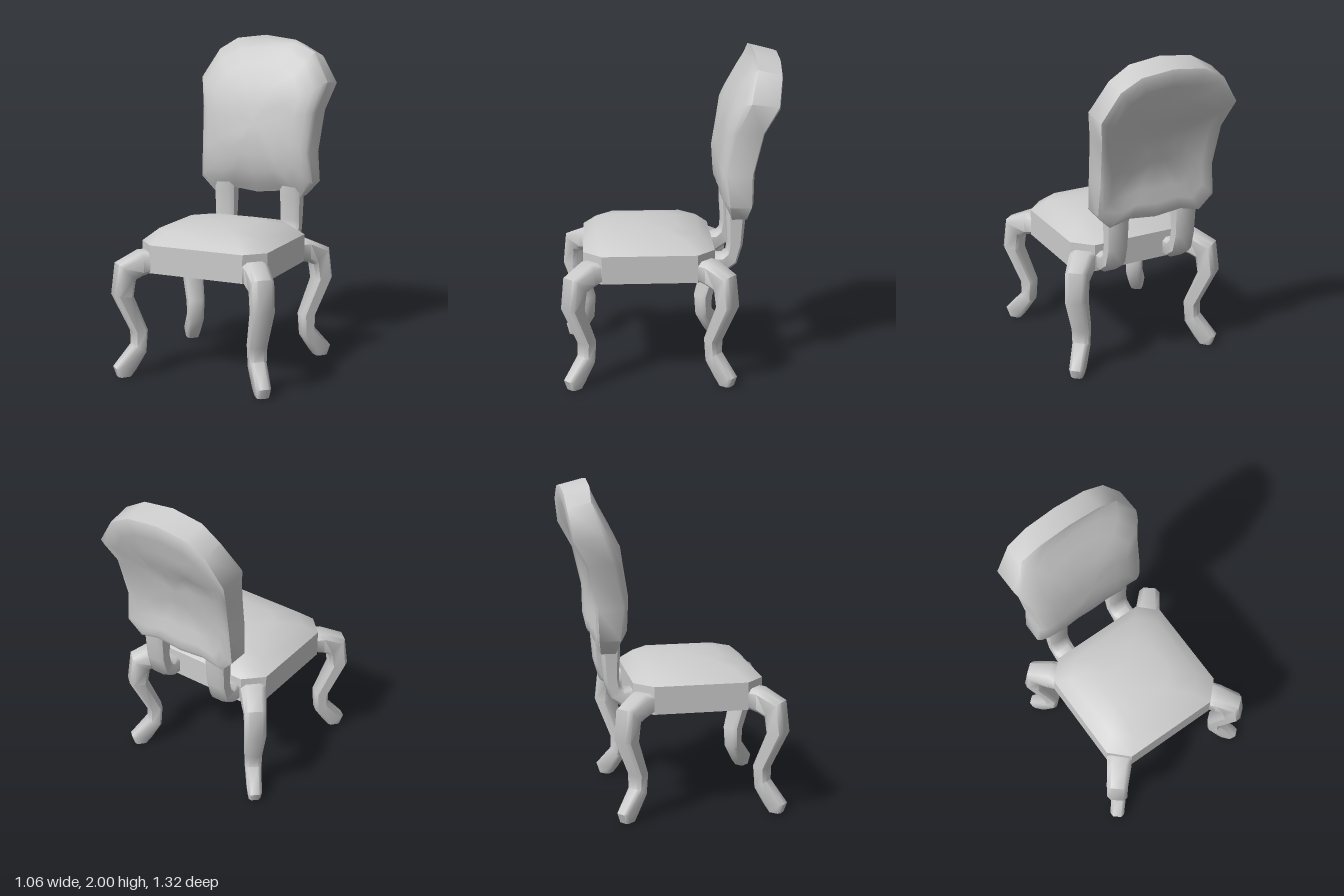
import * as THREE from 'three';
import { toCreasedNormals } from 'three/addons/utils/BufferGeometryUtils.js';

const V = (x, y, z) => new THREE.Vector3(x, y, z);
const material = new THREE.MeshStandardMaterial({ color: 0xcccccc, side: THREE.DoubleSide });

// Piecewise linear lookup in a short list of [input, output] pairs
function lookup(table, v) {
  if (v <= table[0][0]) return table[0][1];
  for (let i = 1; i < table.length; i++) {
    const [a, fa] = table[i - 1], [b, fb] = table[i];
    if (v <= b) return fa + (fb - fa) * (v - a) / (b - a);
  }
  return table[table.length - 1][1];
}

// Skin over closed rings of points; capped ends get a fan to the ring's centre
function loft(name, rings, capStart, capEnd, crease) {
  const n = rings[0].length, points = rings.flat(), index = [];
  const mean = list => list.reduce((s, p) => s.add(p), V(0, 0, 0)).divideScalar(list.length);
  const middle = mean(points);
  for (let r = 0; r < rings.length - 1; r++) {
    for (let i = 0; i < n; i++) {
      const a = r * n + i, b = r * n + (i + 1) % n;
      index.push(a, b, b + n, a, b + n, a + n);
    }
  }
  const cap = (r, reverse) => {
    const c = points.push(mean(rings[r])) - 1;
    for (let i = 0; i < n; i++) {
      const a = r * n + i, b = r * n + (i + 1) % n;
      index.push(c, ...(reverse ? [b, a] : [a, b]));
    }
  };
  if (capStart) cap(0, true);
  if (capEnd) cap(rings.length - 1, false);
  // Turn the faces outward whatever the ring direction
  let volume = 0;
  for (let i = 0; i < index.length; i += 3) {
    const [a, b, c] = [0, 1, 2].map(k => points[index[i + k]].clone().sub(middle));
    volume += a.dot(b.cross(c));
  }
  if (volume < 0) index.reverse();
  const geometry = new THREE.BufferGeometry().setFromPoints(points);
  geometry.setIndex(index);
  const mesh = new THREE.Mesh(toCreasedNormals(geometry, crease), material);
  mesh.name = name;
  return mesh;
}

// Bent limb: each section is [outer s, outer y, inner s, inner y, half width],
// s runs from the origin along a horizontal direction
const SECTION = [[1, .6], [.65, 1], [-.65, 1], [-1, .6], [-1, -.6], [-.65, -1], [.65, -1], [1, -.6]];
function limb(name, ox, oz, dx, dz, sections) {
  const rings = sections.map(([so, yo, si, yi, w]) => SECTION.map(([u, v]) => {
    const s = (so + si) / 2 + u * (so - si) / 2;
    const y = (yo + yi) / 2 + u * (yo - yi) / 2;
    return V(ox + dx * s - dz * v * w, y, oz + dz * s + dx * v * w);
  }));
  return loft(name, rings, true, true, 0.9);
}

// Seat: chamfered rectangle, hollow below, domed cushion above
function seatRing(y, inset) {
  const X = 0.412 - inset, Z = 0.395 - inset, c = 0.11 * (1 - inset);
  return [[X, Z - c], [X - c, Z], [c - X, Z], [-X, Z - c], [-X, c - Z], [c - X, -Z], [X - c, -Z], [X, c - Z]]
    .map(([x, z]) => V(x, y, z + 0.125));
}

// Backrest: outline shrunk towards its middle, following curved front and back faces
const OUTLINE = [[0, 2], [.2, 1.975], [.33, 1.9], [.435, 1.72], [.39, 1.54], [.37, 1.28],
  [.385, 1.09], [.3, .995], [.17, 1.03], [0, 1.01]];
const FRONT = [[1, -.36], [1.07, -.33], [1.13, -.3], [1.34, -.285], [1.64, -.335], [1.9, -.46], [2, -.5]];
const BACK = [[1, -.47], [1.1, -.49], [1.27, -.49], [1.54, -.55], [1.69, -.63], [1.9, -.66], [2, -.665]];
const EDGE = [[1, .01], [1.1, .035], [1.3, .045], [1.72, .09], [1.9, .05], [2, 0]];
function backrest() {
  const outline = [...OUTLINE, ...OUTLINE.slice(1, -1).reverse().map(([x, y]) => [-x, y])];
  const ring = (scale, side, depth) => outline.map(([x, y0]) => {
    const y = 1.45 + (y0 - 1.45) * scale;
    if (side === 'front') return V(x * scale, y, lookup(FRONT, y) - depth * lookup(EDGE, y));
    return V(x * scale, y - Math.max(0, y - 1.5) * 0.08, lookup(BACK, y) + depth);
  });
  return loft('backrest', [
    ring(.2, 'front', 0), ring(.45, 'front', 0), ring(.68, 'front', .08),
    ring(.86, 'front', .25), ring(.95, 'front', .6), ring(1, 'front', 1),
    ring(1, 'back', .01), ring(.93, 'back', 0), ring(.8, 'back', .012),
    ring(.6, 'back', .025), ring(.4, 'back', .03), ring(.2, 'back', .03),
  ], true, true, 0.95);
}

const LEG = [
  [-.01, .765, -.01, .635, .078],
  [.045, .765, .045, .62, .075],
  [.19, .70, .085, .60, .066],
  [.215, .51, .10, .50, .064],
  [.10, .27, .01, .28, .054],
  [.10, .19, .02, .14, .05],
  [.215, .06, .085, .04, .045],
  [.195, 0, .115, 0, .036],
];
const POST = [
  [.25, .645, .25, .765, .065],
  [.32, .65, .32, .765, .065],
  [.405, .71, .345, .79, .065],
  [.44, .83, .35, .85, .063],
  [.455, 1.0, .34, 1.0, .066],
  [.46, 1.1, .34, 1.1, .07],
];

export function createModel() {
  const chair = new THREE.Group();
  chair.name = 'chair';

  chair.add(loft('seat', [
    seatRing(.64, 0), seatRing(.765, 0), seatRing(.81, 0), seatRing(.88, .08),
    seatRing(.912, .21), seatRing(.925, .31),
  ], false, true, 0.75));
  chair.add(backrest());

  // Curved legs splay from the four corners, two posts carry the backrest
  for (const [side, sx] of [['left', 1], ['right', -1]]) {
    chair.add(limb(side + 'FrontLeg', sx * .355, .465, sx * .65, .76, LEG));
    chair.add(limb(side + 'BackLeg', sx * .355, -.215, sx * .65, -.76, LEG));
    chair.add(limb(side + 'BackPost', sx * .228, 0, 0, -1, POST));
  }
  return chair;
}
